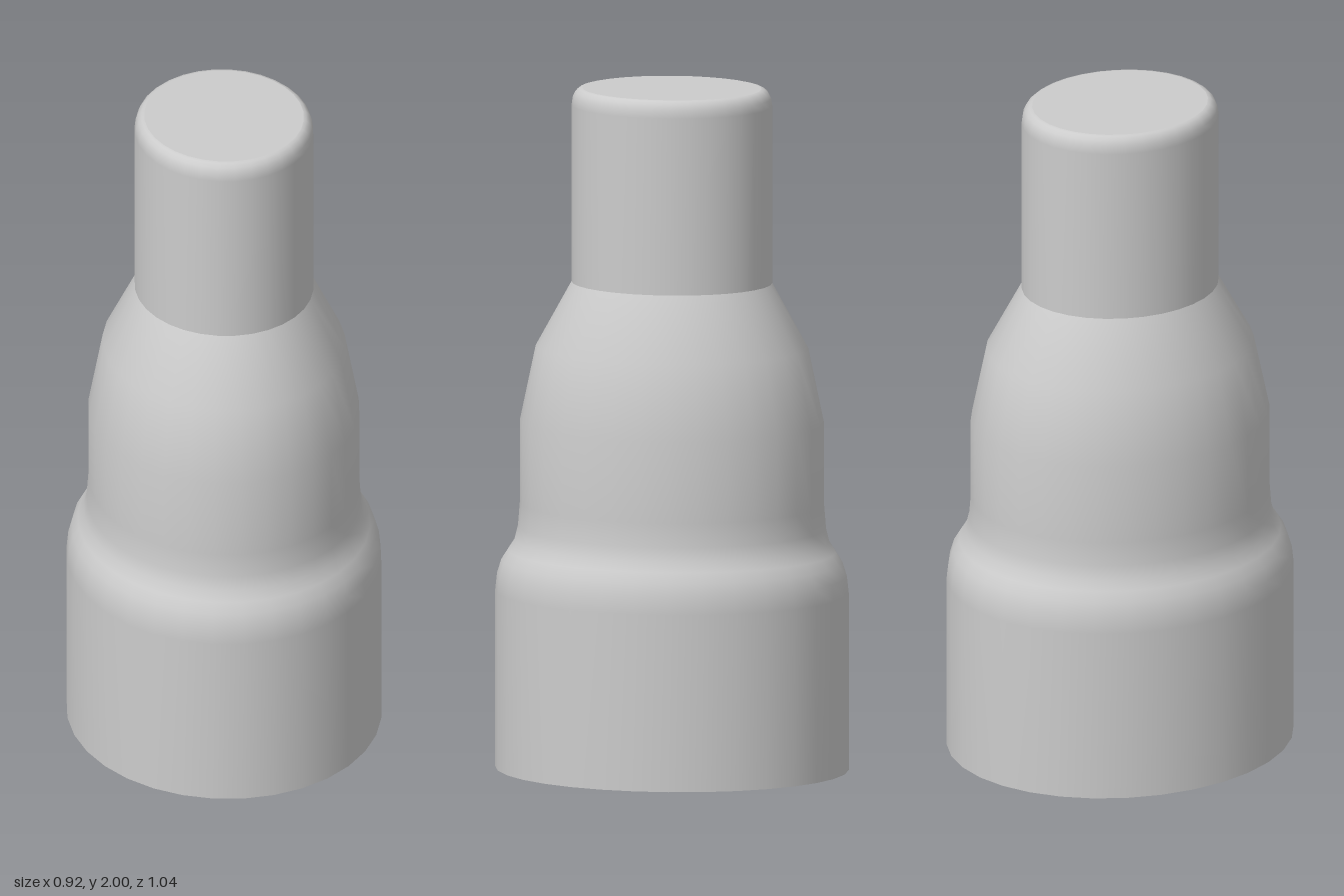
import * as THREE from 'three';

const SIDES = 32;
const DEPTH = 1.13; // oval section: z radius / x radius

export function createModel() {
  const group = new THREE.Group();
  group.name = 'steppedAdapter';
  const material = new THREE.MeshStandardMaterial({ color: 0xcccccc });

  const add = (name, geometry) => {
    const mesh = new THREE.Mesh(geometry.scale(1, 1, DEPTH), material);
    mesh.name = name;
    group.add(mesh);
  };
  // Profiles are [x radius, height], listed upwards
  const shell = (name, profile) =>
    add(name, new THREE.LatheGeometry(profile.map(([r, y]) => new THREE.Vector2(r, y)), SIDES));
  const cap = (name, radius, y, tilt) =>
    add(name, new THREE.CircleGeometry(radius, SIDES).rotateX(tilt).translate(0, y, 0));

  // Wide base, curved step, middle body and tapering shoulder
  shell('body', [
    [0.458, 0], [0.458, 0.52], [0.453, 0.57], [0.442, 0.61], [0.425, 0.64],
    [0.408, 0.67], [0.399, 0.71], [0.394, 0.78], [0.394, 1.02], [0.353, 1.24], [0.26, 1.43],
  ]);

  // Narrow neck with a rounded rim
  shell('neck', [
    [0.26, 1.43], [0.26, 1.95], [0.257, 1.973], [0.25, 1.989], [0.24, 1.998], [0.232, 2],
  ]);

  // Flat ends
  cap('topCap', 0.232, 2, -Math.PI / 2);
  cap('bottomCap', 0.458, 0, Math.PI / 2);
  return group;
}
